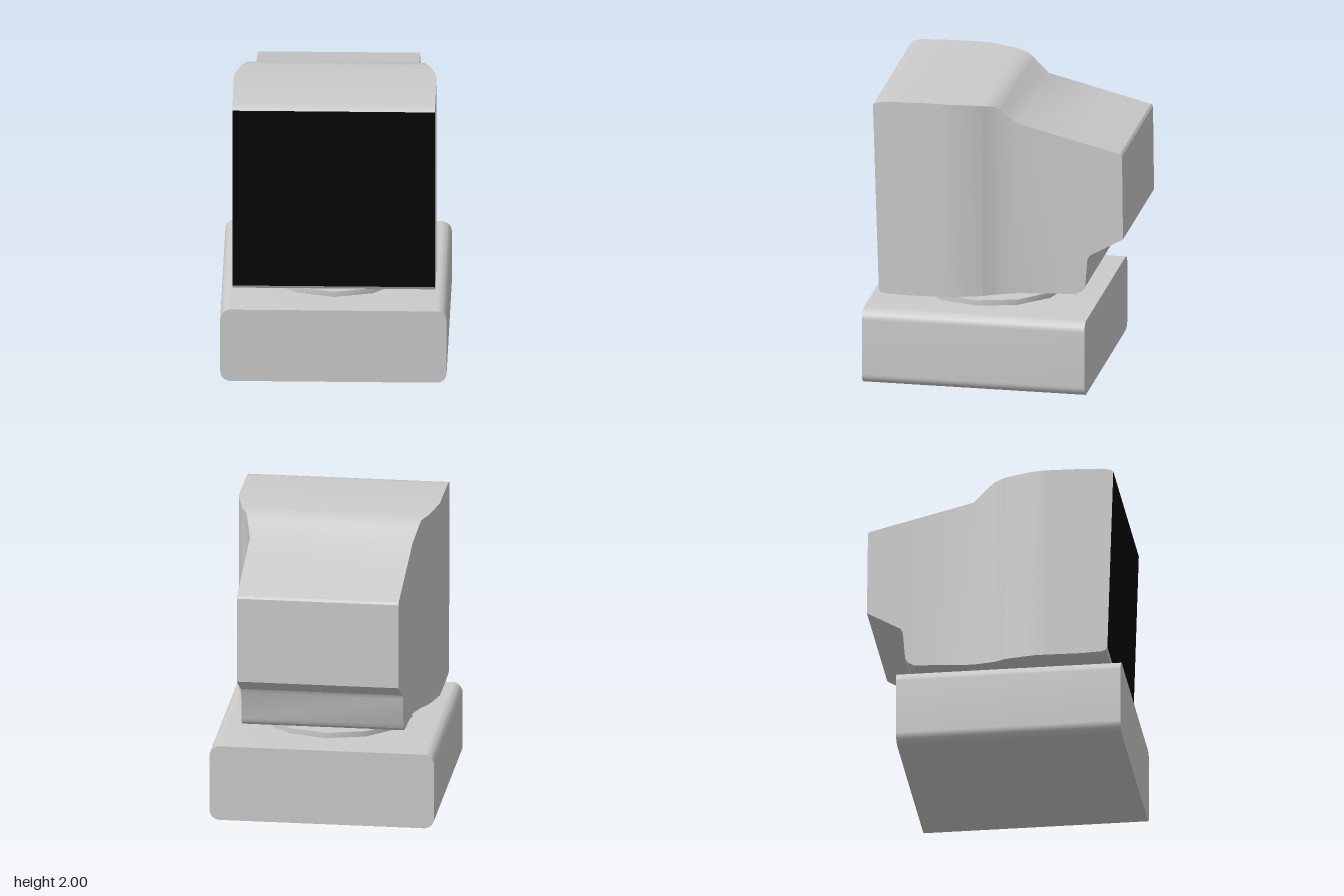
import * as THREE from 'three';
import { toCreasedNormals } from 'three/addons/utils/BufferGeometryUtils.js';

// Monitor outline as [z, value] pairs, from back to front
const UPPER = [[-0.875, 1.07], [-0.868, 1.66], [-0.855, 1.675], [-0.15, 1.85], [-0.04, 1.945], [0, 1.973],
  [0.07, 1.985], [0.2, 1.995], [0.37, 2], [0.6, 1.997], [0.75, 1.99], [0.8, 1.98], [0.82, 1.965]];
const LOWER = [[-0.875, 1.07], [-0.645, 0.94], [-0.63, 0.91], [-0.615, 0.72], [-0.6, 0.69], [-0.555, 0.662],
  [0, 0.636], [0.3, 0.628], [0.6, 0.624], [0.74, 0.63], [0.77, 0.64], [0.78, 0.66], [0.82, 1.965]];
const HALF_WIDTH = [[-0.875, 0.55], [-0.15, 0.553], [0, 0.595], [0.08, 0.635], [0.2, 0.665], [0.3, 0.685], [0.82, 0.685]];
const SCREEN_START = 0.78;

function sample(curve, z) {
  for (let i = 1; i < curve.length; i++) {
    const [z0, v0] = curve[i - 1], [z1, v1] = curve[i];
    if (z <= z1) return v0 + (v1 - v0) * (z - z0) / (z1 - z0);
  }
  return curve[curve.length - 1][1];
}

function addQuad(out, a, b, c, d) {
  const v = (p) => new THREE.Vector3(...p);
  for (const tri of [[a, b, c], [a, c, d]]) {
    const area = new THREE.Triangle(...tri.map(v)).getArea();
    if (area > 1e-8) tri.forEach((p) => out.push(...p));
  }
}

function toGeometry(points) {
  const g = new THREE.BufferGeometry();
  g.setAttribute('position', new THREE.Float32BufferAttribute(points, 3));
  return toCreasedNormals(g, 0.5);
}

// Skins the housing between successive z stations; the front strip becomes the screen
function monitorGeometries() {
  const stations = [...new Set([...UPPER, ...LOWER, ...HALF_WIDTH].map((p) => p[0]))].sort((a, b) => a - b);
  const housing = [], screen = [];
  for (let i = 1; i < stations.length; i++) {
    const z0 = stations[i - 1], z1 = stations[i];
    const [w0, w1] = [z0, z1].map((z) => sample(HALF_WIDTH, z));
    const [t0, t1] = [z0, z1].map((z) => sample(UPPER, z));
    const [b0, b1] = [z0, z1].map((z) => sample(LOWER, z));
    addQuad(housing, [w0, b0, z0], [w0, t0, z0], [w1, t1, z1], [w1, b1, z1]);
    addQuad(housing, [-w0, b0, z0], [-w1, b1, z1], [-w1, t1, z1], [-w0, t0, z0]);
    addQuad(housing, [-w0, t0, z0], [-w1, t1, z1], [w1, t1, z1], [w0, t0, z0]);
    addQuad(z0 >= SCREEN_START ? screen : housing,
      [-w0, b0, z0], [w0, b0, z0], [w1, b1, z1], [-w1, b1, z1]);
  }
  return [toGeometry(housing), toGeometry(screen)];
}

// Box with rounded long edges, extruded from back to front
function baseGeometry() {
  const w = 0.765, h = 0.525, r = 0.07;
  const s = new THREE.Shape();
  s.absarc(w - r, r, r, -Math.PI / 2, 0);
  s.absarc(w - r, h - r, r, 0, Math.PI / 2);
  s.absarc(r - w, h - r, r, Math.PI / 2, Math.PI);
  s.absarc(r - w, r, r, Math.PI, Math.PI * 1.5);
  const g = new THREE.ExtrudeGeometry(s, { depth: 1.53, bevelEnabled: false, curveSegments: 6 });
  g.translate(0, 0, -0.65);
  return toCreasedNormals(g, 0.6);
}

export function createModel() {
  const model = new THREE.Group();
  model.name = 'computer';
  const grey = new THREE.MeshStandardMaterial({ color: 0xcccccc });
  const black = new THREE.MeshStandardMaterial({ color: 0x050505 });
  const add = (name, geometry, material = grey) => {
    const mesh = new THREE.Mesh(geometry, material);
    mesh.name = name;
    model.add(mesh);
    return mesh;
  };

  // Case under the monitor
  add('baseCase', baseGeometry());

  // Swivel stand: flat plate and dome
  const plate = add('swivelPlate', toCreasedNormals(new THREE.CylinderGeometry(0.52, 0.52, 0.04, 12), 0.6));
  plate.position.set(0, 0.543, 0.13);
  const domeProfile = [[0.37, 0.56], [0.335, 0.6], [0.295, 0.63], [0.23, 0.652], [0, 0.67]];
  const dome = add('swivelDome', new THREE.LatheGeometry(domeProfile.map((p) => new THREE.Vector2(...p)), 24));
  dome.position.z = 0.13;

  // Monitor
  const [housing, screen] = monitorGeometries();
  add('monitorHousing', housing);
  add('screen', screen, black);
  return model;
}
